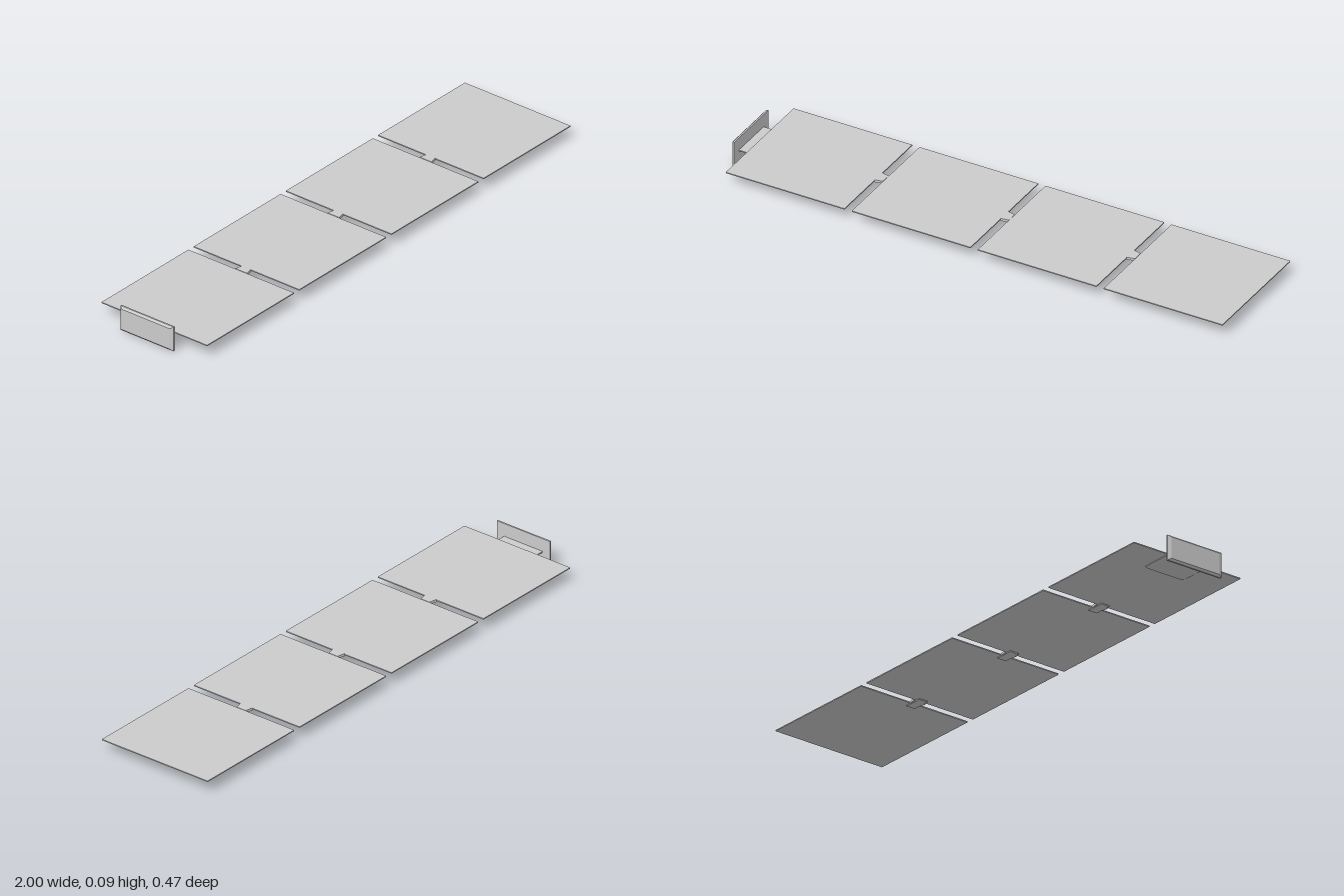
import * as THREE from 'three';

const material = new THREE.MeshStandardMaterial({ color: 0xcccccc, flatShading: true, side: THREE.DoubleSide });

function add(parent, name, geometry, x, y, z) {
  const mesh = new THREE.Mesh(geometry, material);
  mesh.name = name;
  mesh.position.set(x, y, z);
  parent.add(mesh);
  return mesh;
}

// Box whose +x end is scaled in y and z
function taperedBox(sx, sy, sz, scaleY, scaleZ) {
  const geometry = new THREE.BoxGeometry(sx, sy, sz);
  const p = geometry.attributes.position;
  for (let i = 0; i < p.count; i++) {
    if (p.getX(i) > 0) p.setXYZ(i, p.getX(i), p.getY(i) * scaleY, p.getZ(i) * scaleZ);
  }
  geometry.computeVertexNormals();
  return geometry;
}

export function createModel() {
  const group = new THREE.Group();
  group.name = 'foldingPanelArray';

  const panelY = 0.047, panelSize = 0.466, pitch = 0.4947, firstX = -0.721;

  // Four thin square panels in a row
  for (let i = 0; i < 4; i++) {
    const x = firstX + i * pitch;
    add(group, 'panel', new THREE.BoxGeometry(panelSize, 0.004, panelSize), x, panelY, 0);

    // Hinge bridging the gap to the next panel
    if (i < 3) {
      const hinge = new THREE.Group();
      hinge.name = 'hinge';
      hinge.position.set(x + pitch / 2, panelY, 0);
      add(hinge, 'hingeKnuckle', taperedBox(0.03, 0.01, 0.052, 0.9, 0.75), 0, -0.001, 0);
      add(hinge, 'hingeLeaf', new THREE.BoxGeometry(0.07, 0.004, 0.036), 0, -0.005, 0);
      group.add(hinge);
    }
  }

  // Flat bracket reaching under the first panel, with bevelled long edges
  const section = new THREE.Shape([
    [-0.085, 0.047], [0.085, 0.047], [0.085, 0.043], [0.075, 0.039], [-0.075, 0.039], [-0.085, 0.043],
  ].map(([z, y]) => new THREE.Vector2(z, y)));
  const bracketGeometry = new THREE.ExtrudeGeometry(section, { depth: 0.155, bevelEnabled: false });
  bracketGeometry.rotateY(Math.PI / 2);
  add(group, 'bracket', bracketGeometry, -0.988, -0.001, 0);

  // Upright mounting plate with a shallow raised outer face
  add(group, 'mountPlate', new THREE.BoxGeometry(0.006, 0.095, 0.235), -0.99, 0.0475, 0);
  const raised = taperedBox(0.007, 0.08, 0.21, 0.095 / 0.08, 0.235 / 0.21);
  add(group, 'mountPlateFace', raised, -0.9965, 0.0475, 0);

  return group;
}
